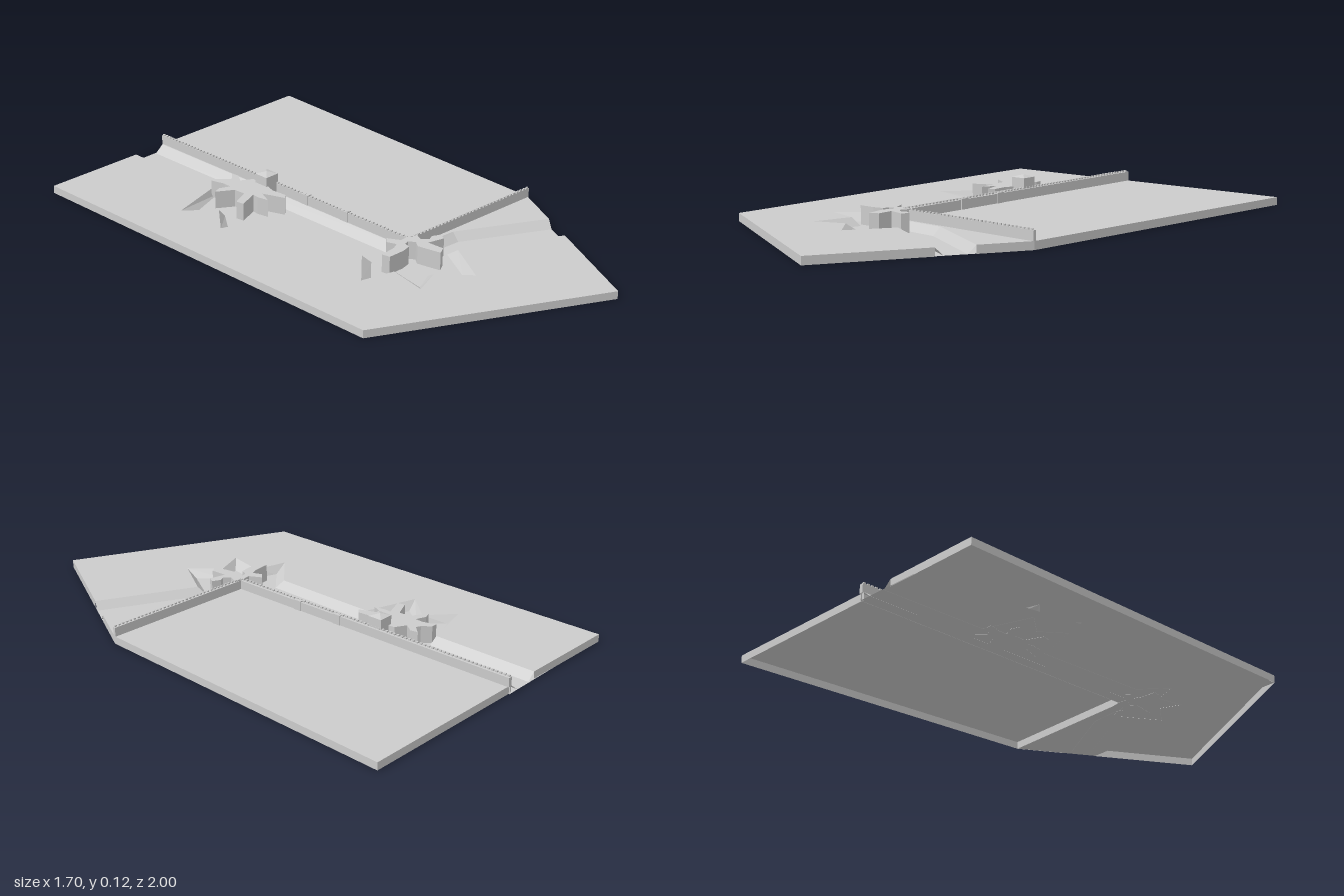
import * as THREE from 'three';
import { mergeGeometries } from 'three/addons/utils/BufferGeometryUtils.js';

const TOP = 0.03; // ground level; the moat floor lies near y = 0

export function createModel() {
  const model = new THREE.Group();
  const mat = new THREE.MeshStandardMaterial({ color: 0xcccccc, flatShading: true, side: THREE.DoubleSide });

  const add = (name, geometry, parent = model) => {
    const mesh = new THREE.Mesh(geometry, mat);
    mesh.name = name;
    parent.add(mesh);
    return mesh;
  };
  const outline = pts => new THREE.Shape(pts.map(([x, z]) => new THREE.Vector2(x, -z)));
  // horizontal sheet at a height
  const sheet = (name, pts, y) =>
    add(name, new THREE.ShapeGeometry(outline(pts)).rotateX(-Math.PI / 2).translate(0, y, 0));
  // ribbon joining two matching polylines at two heights
  const ribbon = (name, upper, lower, yUp = TOP, yLow = 0) => {
    const pos = [];
    for (let i = 0; i < upper.length - 1; i++) {
      const a = [upper[i][0], yUp, upper[i][1]], b = [upper[i + 1][0], yUp, upper[i + 1][1]];
      const c = [lower[i][0], yLow, lower[i][1]], d = [lower[i + 1][0], yLow, lower[i + 1][1]];
      pos.push(...a, ...c, ...b, ...b, ...c, ...d);
    }
    const g = new THREE.BufferGeometry();
    g.setAttribute('position', new THREE.Float32BufferAttribute(pos, 3));
    g.computeVertexNormals();
    return add(name, g);
  };

  // corners of the site and of the city wall
  const A = [-0.85, -0.375], B = [0.264, -1], C = [0.85, 0.215], D = [0.85, 0.99], E = [-0.06, 1];
  const P = [0.28, 0.485], Q = [-0.36, -0.655];

  // moat edges
  const outerTop = [[-0.49, -0.575], [-0.275, -0.185], [-0.43, -0.03], [-0.295, 0.005], [-0.325, 0.155],
    [-0.11, 0.115], [0.1, 0.5], [0.04, 0.675], [0.17, 0.645], [0.215, 0.79], [0.295, 0.7], [0.43, 0.75],
    [0.44, 0.555], [0.85, 0.555]];
  const outerLow = [[-0.46, -0.592], [-0.245, -0.195], [-0.38, -0.04], [-0.27, 0], [-0.285, 0.115],
    [-0.095, 0.075], [0.135, 0.505], [0.09, 0.635], [0.2, 0.62], [0.235, 0.725], [0.29, 0.655], [0.405, 0.7],
    [0.41, 0.525], [0.85, 0.525]];
  const innerTop = [[-0.368, -0.645], [0.265, 0.48], [0.325, 0.48], [0.475, 0.415], [0.85, 0.415]];
  const innerLow = [[-0.4, -0.627], [0.24, 0.51], [0.33, 0.51], [0.485, 0.445], [0.85, 0.445]];

  // ground, banks, floor and the skirts around the open underside
  sheet('outerLand', [A, ...outerTop, D, E], TOP);
  sheet('cityGround', [...innerTop, C, B], TOP);
  sheet('moatFloor', [[-0.6, -0.515], Q, P, C, [0.85, 0.555], E], 0.001);
  ribbon('outerBank', outerTop, outerLow);
  ribbon('innerBank', innerTop, innerLow);
  const outerEdge = [outerTop[13], D, E, A, outerTop[0]];
  ribbon('outerSkirt', outerEdge, outerEdge);
  const cityEdge = [innerTop[0], B, C, innerTop[4]];
  ribbon('citySkirt', cityEdge, cityEdge);
  ribbon('cityFooting', [Q, P, C], [Q, P, C]);

  // crenellated city walls
  const wall = (name, from, to, thick) => {
    const dx = to[0] - from[0], dz = to[1] - from[1], len = Math.hypot(dx, dz);
    const parts = [new THREE.BoxGeometry(len, 0.036, thick).translate(len / 2, TOP + 0.018, 0)];
    const n = Math.round(len / 0.018);
    for (let i = 0; i < n; i++)
      parts.push(new THREE.BoxGeometry(0.009, 0.006, thick * 0.5)
        .translate((i + 0.5) * len / n, 0.069, thick * 0.25));
    const mesh = add(name, mergeGeometries(parts));
    mesh.position.set(from[0], 0, from[1]);
    mesh.rotation.y = -Math.atan2(dz, dx);
    return mesh;
  };
  const longWall = wall('longWall', Q, P, 0.016);
  wall('shortWall', P, C, 0.011);
  for (const d of [0.8, 1.0])
    add('wallTurret', new THREE.BoxGeometry(0.035, 0.04, 0.022), longWall).position.set(d, 0.05, 0);

  // star bastions standing in the moat
  const bastion = (name, pts) =>
    add(name, new THREE.ExtrudeGeometry(outline(pts), { depth: 0.07, bevelEnabled: false }).rotateX(-Math.PI / 2));
  bastion('middleBastion', [[-0.19, -0.21], [-0.17, -0.185], [-0.175, -0.14], [-0.125, -0.14], [-0.095, -0.09],
    [-0.08, -0.02], [-0.045, 0.03], [-0.055, 0.055], [-0.09, 0.025], [-0.125, -0.005], [-0.12, 0.055],
    [-0.15, 0.02], [-0.16, -0.005], [-0.215, 0.06], [-0.235, 0.035], [-0.19, -0.025], [-0.215, -0.065],
    [-0.29, -0.07], [-0.27, -0.095], [-0.225, -0.1], [-0.24, -0.13], [-0.28, -0.17], [-0.26, -0.18],
    [-0.22, -0.165], [-0.2, -0.165]]);
  bastion('cornerBastion', [[0.2, 0.47], [0.245, 0.5], [0.275, 0.48], [0.31, 0.47], [0.315, 0.51], [0.345, 0.52],
    [0.36, 0.5], [0.395, 0.5], [0.395, 0.53], [0.33, 0.545], [0.365, 0.6], [0.345, 0.63], [0.31, 0.59],
    [0.285, 0.56], [0.29, 0.53], [0.265, 0.515], [0.25, 0.53], [0.255, 0.555], [0.225, 0.58], [0.165, 0.61],
    [0.145, 0.585], [0.2, 0.55], [0.22, 0.525], [0.19, 0.5]]);

  // gate tower with an arched passage and a low pyramid roof
  const gate = new THREE.Group();
  gate.name = 'gateTower';
  const h = 0.03;
  const front = new THREE.Shape([[-h, 0], [-0.012, 0], [-0.012, 0.02]].map(p => new THREE.Vector2(...p)));
  front.absarc(0, 0.02, 0.012, Math.PI, 0, true);
  for (const [x, y] of [[0.012, 0], [h, 0], [h, 0.076], [-h, 0.076]]) front.lineTo(x, y);
  add('gateBody', new THREE.ExtrudeGeometry(front, { depth: 2 * h, bevelEnabled: false, curveSegments: 6 })
    .translate(0, 0, -h), gate);
  add('gateRoof', new THREE.ConeGeometry(h * Math.SQRT2, 0.01, 4).rotateY(Math.PI / 4).translate(0, 0.081, 0), gate);
  gate.position.set(-0.083, TOP, -0.098);
  gate.rotation.y = longWall.rotation.y;
  model.add(gate);

  return model;
}
